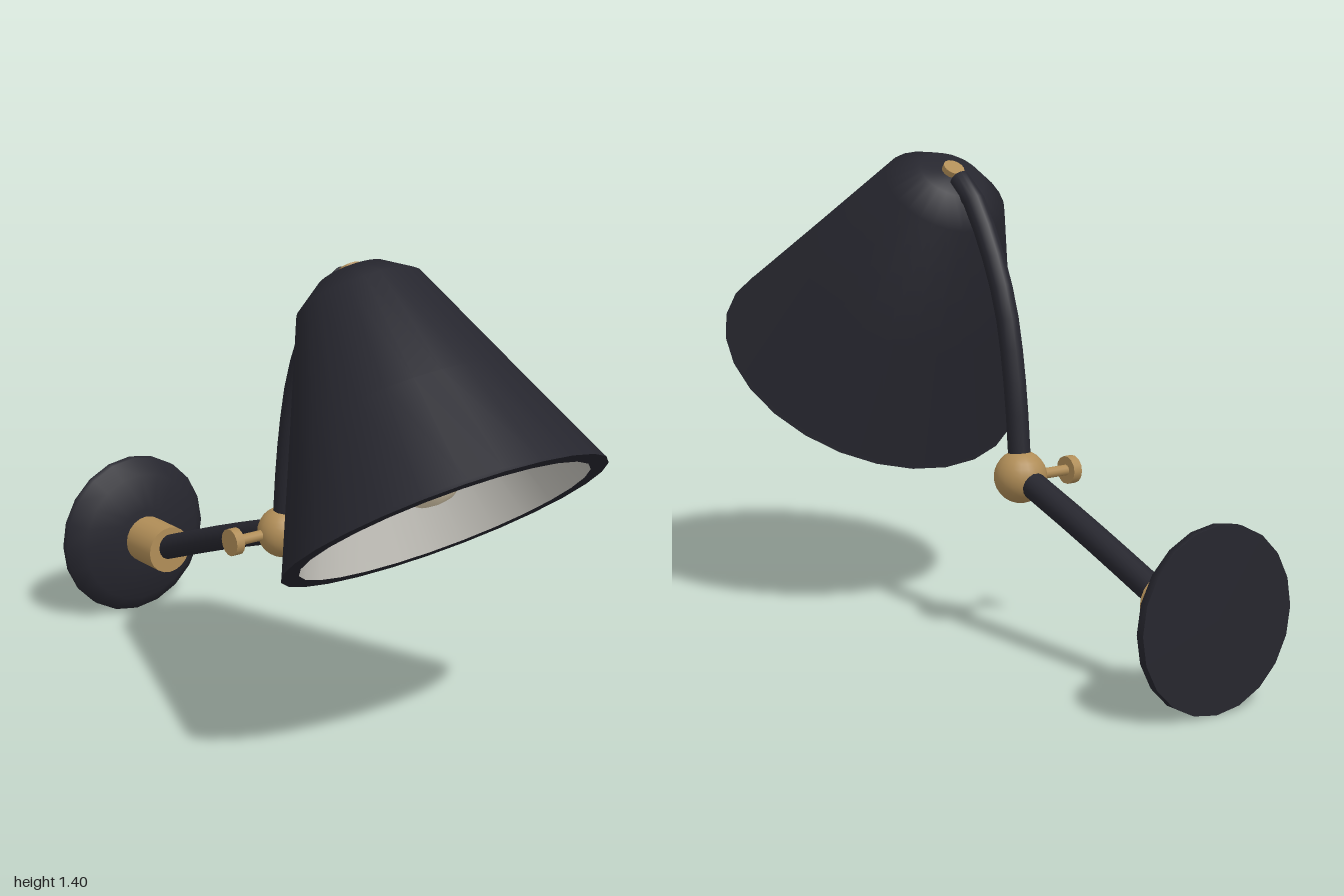
import * as THREE from 'three';

const black = new THREE.MeshStandardMaterial({ color: 0x26262e });
black.name = 'charcoal';
const brass = new THREE.MeshStandardMaterial({ color: 0xb08d57 });
brass.name = 'brass';
const white = new THREE.MeshStandardMaterial({ color: 0xc2c0b9, side: THREE.DoubleSide });
white.name = 'pale lining';
const cream = new THREE.MeshStandardMaterial({ color: 0xe8d8b8 });
cream.name = 'warm bulb';

function add(parent, name, geometry, material, x = 0, y = 0, z = 0) {
  const mesh = new THREE.Mesh(geometry, material);
  mesh.name = name;
  mesh.position.set(x, y, z);
  parent.add(mesh);
  return mesh;
}

// Each profile is a list of [radius, height]; separate profiles meet in sharp edges
function lathes(parent, name, material, sides, ...profiles) {
  const group = new THREE.Group();
  group.name = name;
  profiles.forEach((p, i) => add(group, name + (i + 1),
    new THREE.LatheGeometry(p.map(([r, h]) => new THREE.Vector2(r, h)), sides), material));
  parent.add(group);
  return group;
}

// Tube in the x = 0 plane through [z, y] points
function arm(parent, name, points, radius, segments) {
  const curve = new THREE.CatmullRomCurve3(points.map(([z, y]) => new THREE.Vector3(0, y, z)));
  add(parent, name, new THREE.TubeGeometry(curve, segments, radius, 14), black);
  return curve;
}

export function createModel() {
  const lamp = new THREE.Group();
  lamp.name = 'wallLamp';

  // Wall plate and collar
  const plate = lathes(lamp, 'wallPlate', black, 20,
    [[0, 0], [0.258, 0]],
    [[0.258, 0], [0.258, 0.025], [0.21, 0.065], [0.1, 0.091], [0, 0.095]]);
  plate.position.set(0, 0.258, -1);
  plate.rotation.x = Math.PI / 2;
  add(lamp, 'collar', new THREE.CylinderGeometry(0.075, 0.075, 0.14, 20), brass, 0, 0.26, -0.84)
    .rotation.x = Math.PI / 2;

  // Arms and ball joint
  arm(lamp, 'lowerArm', [[-0.83, 0.248], [-0.45, 0.394], [-0.145, 0.502]], 0.039, 6);
  const upper = arm(lamp, 'upperArm', [[-0.145, 0.496], [-0.117, 0.765], [-0.072, 0.98],
    [0, 1.145], [0.055, 1.235], [0.105, 1.3], [0.15, 1.325]], 0.033, 10);
  const tip = upper.getPoint(1);
  const armEnd = add(lamp, 'upperArmEnd', new THREE.CircleGeometry(0.033, 14), black, tip.x, tip.y, tip.z);
  armEnd.lookAt(tip.clone().add(upper.getTangent(1)));
  add(lamp, 'ballJoint', new THREE.SphereGeometry(0.077, 20, 14), brass, 0, 0.496, -0.145);

  // Thumb screw on the joint
  add(lamp, 'screwStem', new THREE.CylinderGeometry(0.016, 0.016, 0.12, 12), brass, -0.11, 0.496, -0.155)
    .rotation.z = Math.PI / 2;
  add(lamp, 'screwHead', new THREE.CylinderGeometry(0.041, 0.041, 0.028, 14), brass, -0.172, 0.496, -0.155)
    .rotation.z = Math.PI / 2;

  // Tilted shade, built around its own axis from the rim centre
  const shade = new THREE.Group();
  shade.name = 'shade';
  shade.position.set(0, 0.731, 0.611);
  shade.rotation.x = -THREE.MathUtils.degToRad(35);
  lamp.add(shade);
  lathes(shade, 'shadeShell', black, 26,
    [[0.474, 0], [0.468, 0.012], [0.33, 0.336], [0.185, 0.68], [0.1, 0.743], [0, 0.751]]);
  lathes(shade, 'shadeRim', black, 26, [[0.422, 0], [0.474, 0]]);
  lathes(shade, 'shadeLining', white, 26,
    [[0, 0.71], [0.08, 0.7], [0.142, 0.645], [0.422, 0]]);
  add(shade, 'shadeCap', new THREE.CylinderGeometry(0.032, 0.032, 0.024, 14), brass, 0, 0.754, 0.006);

  // Socket and bulb
  add(shade, 'socket', new THREE.CylinderGeometry(0.055, 0.055, 0.33, 16), brass, 0, 0.54, 0);
  add(shade, 'bulb', new THREE.SphereGeometry(0.152, 14, 10).scale(1, 1.25, 1), cream, 0, 0.242, 0);

  return lamp;
}
